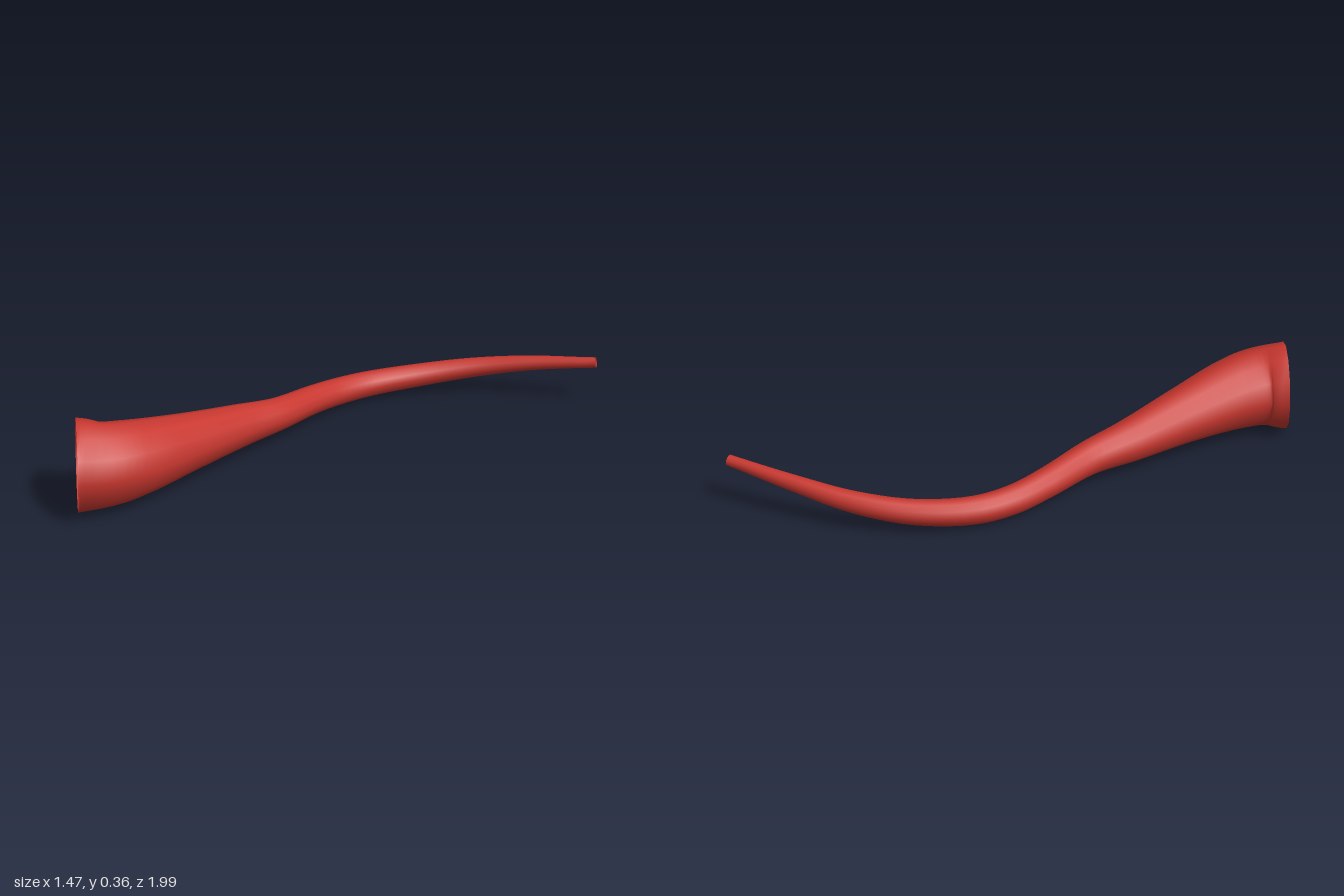
import * as THREE from 'three';

const SIDES = 12;
const STEPS = 60;

// Centre line and radius, from the open bell to the narrow mouthpiece: x, y, z, r
const STATIONS = [
  [-0.63, 0.182, 0.85, 0.178],
  [-0.552, 0.178, 0.79, 0.162],
  [-0.487, 0.17, 0.67, 0.147],
  [-0.41, 0.15, 0.43, 0.115],
  [-0.335, 0.125, 0.16, 0.086],
  [-0.275, 0.11, -0.025, 0.068],
  [-0.24, 0.09, -0.25, 0.06],
  [-0.2, 0.075, -0.41, 0.057],
  [-0.125, 0.07, -0.555, 0.054],
  [0.03, 0.081, -0.712, 0.049],
  [0.22, 0.11, -0.83, 0.042],
  [0.45, 0.148, -0.912, 0.032],
  [0.725, 0.182, -0.978, 0.022],
];

// Sweeps an upright ring of varying radius along the centre line
function hornGeometry() {
  const path = new THREE.CatmullRomCurve3(STATIONS.map(([x, y, z]) => new THREE.Vector3(x, y, z)));
  const radii = new THREE.SplineCurve(STATIONS.map(([, , , r], i) => new THREE.Vector2(i, r)));
  const positions = [];
  const index = [];
  for (let i = 0; i <= STEPS; i++) {
    const t = i / STEPS;
    const centre = path.getPoint(t);
    const tangent = path.getTangent(t);
    const radius = radii.getPoint(t).y;
    const side = new THREE.Vector3().crossVectors(tangent, new THREE.Vector3(0, 1, 0)).normalize();
    const up = new THREE.Vector3().crossVectors(side, tangent);
    for (let j = 0; j < SIDES; j++) {
      const angle = (j / SIDES) * Math.PI * 2;
      const p = centre.clone()
        .addScaledVector(up, Math.cos(angle) * radius)
        .addScaledVector(side, Math.sin(angle) * radius);
      positions.push(p.x, p.y, p.z);
      if (i < STEPS) {
        const a = i * SIDES + j;
        const c = i * SIDES + ((j + 1) % SIDES);
        index.push(a, c, a + SIDES, c, c + SIDES, a + SIDES);
      }
    }
  }
  const geometry = new THREE.BufferGeometry();
  geometry.setAttribute('position', new THREE.Float32BufferAttribute(positions, 3));
  geometry.setIndex(index);
  geometry.computeVertexNormals();
  return geometry;
}

export function createModel() {
  const group = new THREE.Group();
  group.name = 'curvedHorn';

  // Thin shell, open at both ends
  const red = new THREE.MeshStandardMaterial({ color: 0xc8372f, side: THREE.DoubleSide });
  red.name = 'red';
  const horn = new THREE.Mesh(hornGeometry(), red);
  horn.name = 'hornTube';
  group.add(horn);
  return group;
}
